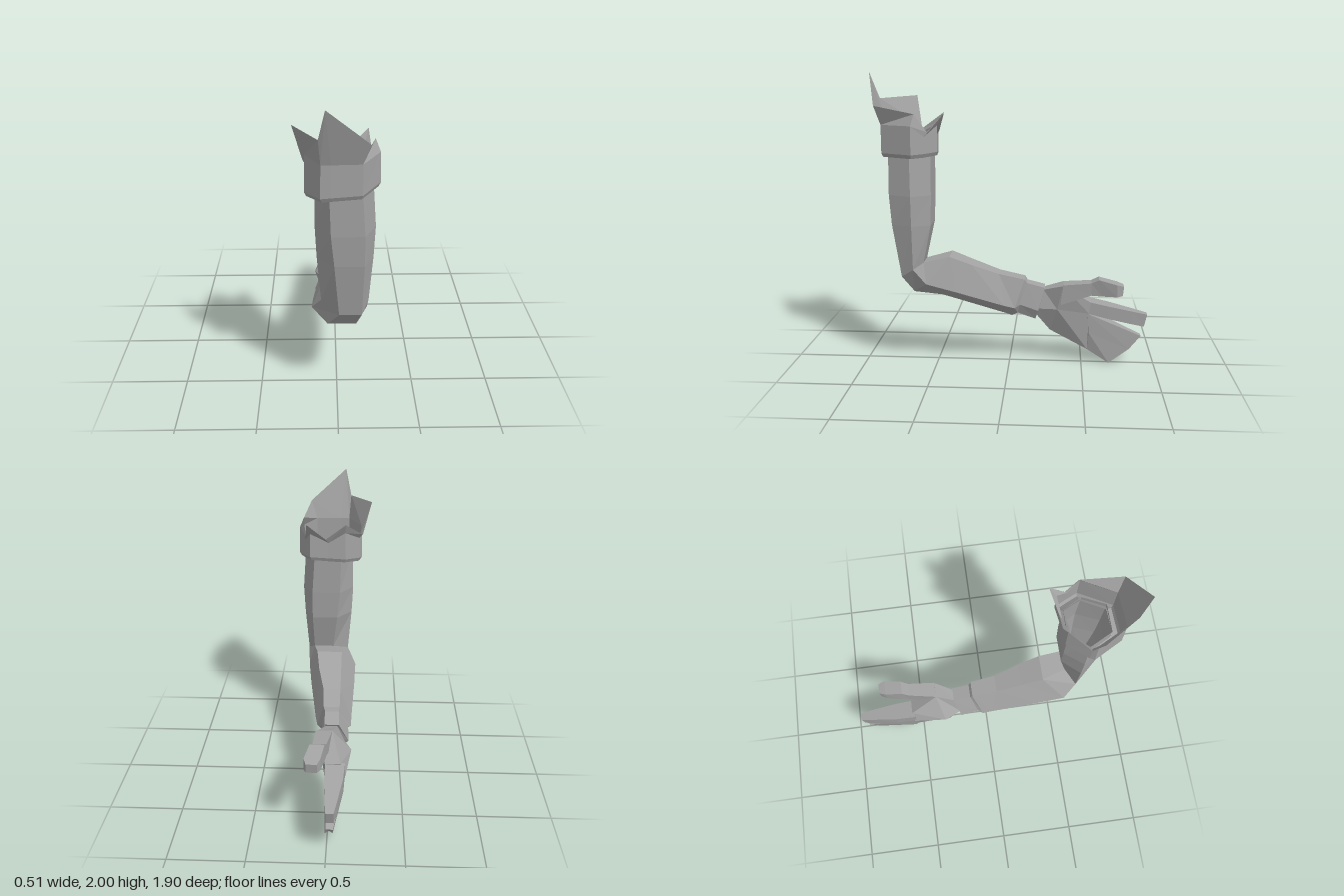
import * as THREE from 'three';

const grey = new THREE.MeshStandardMaterial({ color: 0xa3a3a3, flatShading: true, side: THREE.DoubleSide });
grey.name = 'plain grey';

// Skin a list of rings (equal point counts); optionally close either end.
function loft(name, rings, capStart = false, capEnd = false) {
  const pos = [];
  const tri = (a, b, c) => pos.push(...a, ...b, ...c);
  const n = rings[0].length;
  for (let r = 0; r + 1 < rings.length; r++) {
    for (let i = 0; i < n; i++) {
      const j = (i + 1) % n, a = rings[r], b = rings[r + 1];
      tri(a[i], a[j], b[j]);
      tri(a[i], b[j], b[i]);
    }
  }
  const first = rings[0], last = rings[rings.length - 1];
  for (let i = 1; i + 1 < n; i++) {
    if (capStart) tri(first[0], first[i + 1], first[i]);
    if (capEnd) tri(last[0], last[i], last[i + 1]);
  }
  const g = new THREE.BufferGeometry();
  g.setAttribute('position', new THREE.Float32BufferAttribute(pos, 3));
  g.computeVertexNormals();
  const mesh = new THREE.Mesh(g, grey);
  mesh.name = name;
  return mesh;
}

// Six-sided limb section: four x positions, then (z, y) of the outer, side and inner edges of the bend.
const limbRing = ([xl, x1, x2, xr, oz, oy, mz, my, iz, iy]) => [
  [x1, oy, oz], [x2, oy, oz], [xr, my, mz], [x2, iy, iz], [x1, iy, iz], [xl, my, mz],
];

// Four-sided finger section: left, right, then (z, y) below and above.
const fingerRing = ([xl, xr, bz, by, tz, ty]) => [[xl, by, bz], [xr, by, bz], [xr, ty, tz], [xl, ty, tz]];

export function createModel() {
  const model = new THREE.Group();
  model.name = 'bentArm';

  // Upper arm, elbow, forearm with stepped wrist band
  const upper = [
    [-0.13, -0.05, 0.14, 0.21, 0.79, 1.50, 0.64, 1.50, 0.51, 1.50],
    [-0.135, -0.04, 0.16, 0.23, 0.79, 1.2, 0.635, 1.2, 0.51, 1.2],
    [-0.125, -0.02, 0.16, 0.22, 0.775, 1.0, 0.635, 1.0, 0.515, 1.0],
    [-0.10, 0.01, 0.15, 0.195, 0.72, 0.64, 0.635, 0.70, 0.57, 0.74],
  ];
  const fore = [
    upper[3],
    [-0.16, -0.06, 0.12, 0.19, 0.64, 0.53, 0.55, 0.60, 0.40, 0.775],
    [-0.155, -0.06, 0.10, 0.165, 0.45, 0.505, 0.35, 0.54, 0.25, 0.715],
    [-0.14, -0.06, 0.06, 0.115, 0.03, 0.37, 0.03, 0.435, 0.07, 0.645],
    [-0.14, -0.06, 0.05, 0.10, -0.02, 0.35, -0.04, 0.415, -0.106, 0.605],
    [-0.12, -0.055, 0.04, 0.065, -0.058, 0.366, -0.075, 0.43, -0.122, 0.578],
    [-0.125, -0.06, 0.04, 0.07, -0.18, 0.324, -0.20, 0.39, -0.244, 0.546],
    [-0.095, -0.05, 0.03, 0.05, -0.19, 0.35, -0.205, 0.40, -0.235, 0.53],
  ];
  model.add(loft('upperArm', upper.map(limbRing).reverse()));
  model.add(loft('forearm', fore.map(limbRing).reverse()));

  // Palm, widest behind the knuckles
  const palm = [
    limbRing(fore[7]),
    [[-0.08, 0.22, -0.28], [-0.01, 0.23, -0.28], [0.06, 0.40, -0.33],
      [0.09, 0.575, -0.37], [-0.02, 0.58, -0.37], [-0.147, 0.40, -0.32]],
    [[-0.05, 0.085, -0.54], [0, 0.095, -0.54], [0.02, 0.36, -0.55],
      [0.02, 0.44, -0.56], [-0.08, 0.45, -0.56], [-0.115, 0.36, -0.55]],
  ];
  model.add(loft('palm', palm.reverse(), true));

  // Thumb and forefinger
  const finger = (name, rows) => model.add(loft(name, rows.map(fingerRing).reverse(), true, true));
  finger('thumb', [
    [-0.02, 0.09, -0.35, 0.44, -0.37, 0.58],
    [0.01, 0.10, -0.56, 0.515, -0.56, 0.60],
    [0.02, 0.115, -0.63, 0.515, -0.61, 0.628],
    [0.04, 0.145, -0.73, 0.52, -0.73, 0.603],
    [0.06, 0.13, -0.768, 0.525, -0.775, 0.59],
  ]);
  finger('forefinger', [
    [-0.11, 0.02, -0.54, 0.36, -0.54, 0.445],
    [-0.10, 0.02, -0.68, 0.325, -0.68, 0.415],
    [-0.07, 0.01, -0.84, 0.288, -0.85, 0.378],
    [-0.05, 0, -0.93, 0.268, -0.95, 0.355],
  ]);

  // Remaining fingers held together as one tapering blade
  const blade = [
    [[-0.05, 0.085, -0.54], [0, 0.095, -0.54], [0.02, 0.22, -0.55],
      [0.02, 0.36, -0.54], [-0.11, 0.36, -0.54], [-0.10, 0.22, -0.55]],
    [[-0.012, 0.005, -0.69], [0.02, 0.005, -0.69], [0.01, 0.105, -0.83],
      [0, 0.20, -0.91], [-0.045, 0.20, -0.91], [-0.04, 0.105, -0.83]],
  ];
  model.add(loft('joinedFingers', blade.reverse(), true, true));

  // Torn sleeve: each column is a hem point followed by a jagged rim point
  const columns = [
    [-0.10, 1.46, 0.845, -0.11, 1.82, 0.89],
    [-0.04, 1.465, 0.845, -0.07, 2.0, 0.95],
    [0.14, 1.475, 0.835, 0.18, 1.785, 0.87],
    [0.255, 1.475, 0.62, 0.22, 1.735, 0.60],
    [0.215, 1.48, 0.54, 0.205, 1.62, 0.52],
    [0.17, 1.49, 0.46, 0.19, 1.74, 0.41],
    [0.04, 1.475, 0.48, 0.06, 1.62, 0.46],
    [-0.08, 1.465, 0.49, -0.08, 1.73, 0.45],
    [-0.18, 1.43, 0.63, -0.20, 1.61, 0.62],
    [-0.195, 1.43, 0.66, -0.26, 1.835, 0.66],
  ];
  const shrink = (s, dy) => columns.map(([x, y, z]) => [0.04 + (x - 0.04) * s, y + dy, 0.65 + (z - 0.65) * s]);
  const waist = columns.map(([x, , z, , ry]) => [0.04 + (x - 0.04) * 0.98, Math.min(1.66, ry - 0.03), z]);
  const rim = columns.map((c) => c.slice(3));
  model.add(loft('tornSleeve', [shrink(0.72, 0.01), shrink(0.94, -0.025), shrink(1, 0), waist, rim]));

  return model;
}
